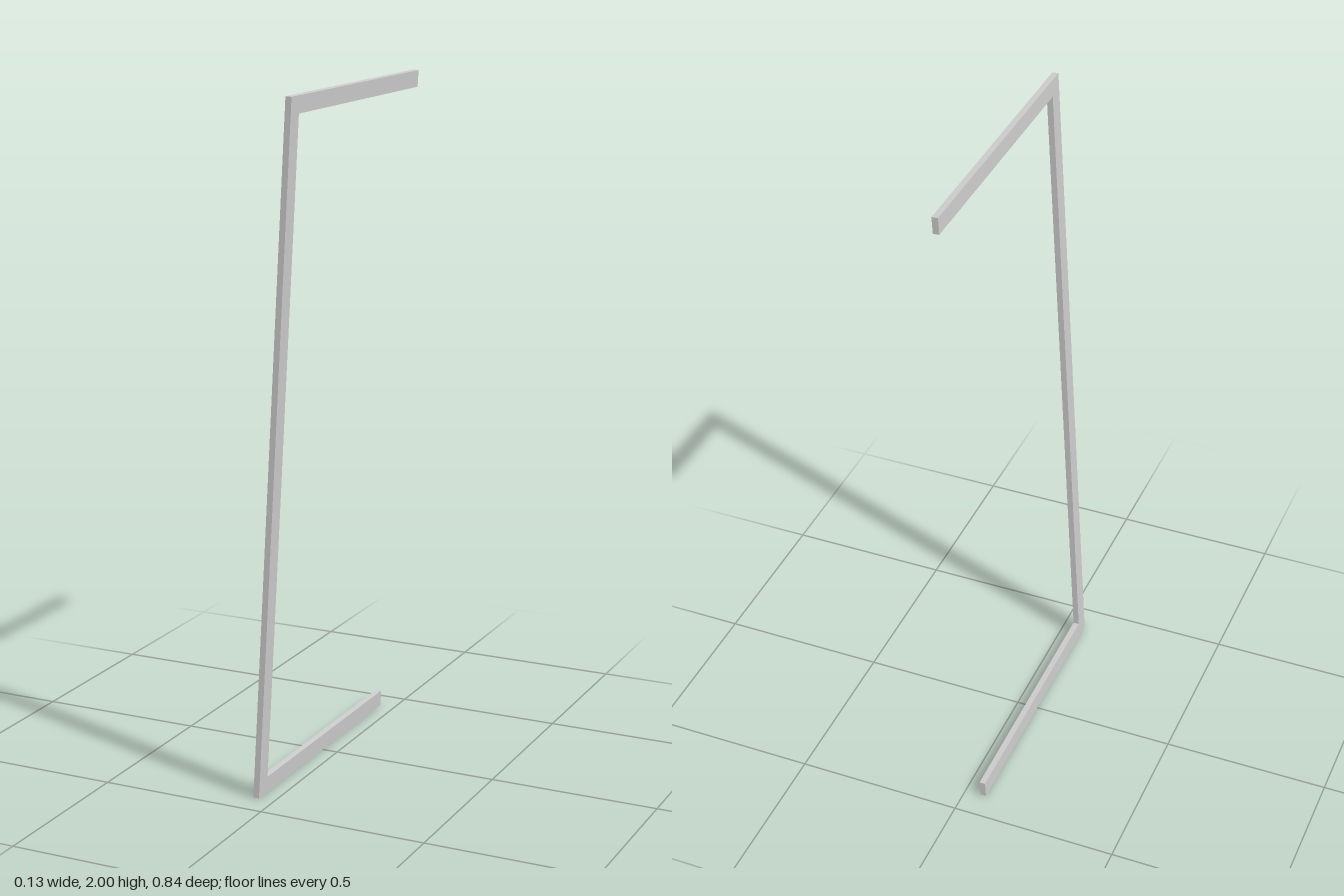
import * as THREE from 'three';

// Slim U-shaped handle bar: one upright with two arms running back, leaning sideways
export function createModel() {
  const group = new THREE.Group();
  const material = new THREE.MeshStandardMaterial({ color: 0xcccccc });

  const height = 2.002, depth = 0.836, bar = 0.049, width = 0.018, lean = 0.057;
  const h = height / 2, d = depth / 2;

  // Side outline of the bar: shape x = model z, shape y = height
  const outline = new THREE.Shape([
    [-d, -h], [d, -h], [d, h], [-d, h],
    [-d, h - bar], [d - bar, h - bar], [d - bar, -h + bar], [-d, -h + bar],
  ].map(([z, y]) => new THREE.Vector2(z, y)));

  const geometry = new THREE.ExtrudeGeometry(outline, { depth: width, bevelEnabled: false });
  geometry.translate(0, 0, -width / 2);
  geometry.rotateY(-Math.PI / 2); // outline x becomes +z
  geometry.rotateZ(-lean); // top leans towards +x
  geometry.translate(0, 1, 0);

  const frame = new THREE.Mesh(geometry, material);
  frame.name = 'handleFrame';
  group.add(frame);
  return group;
}
